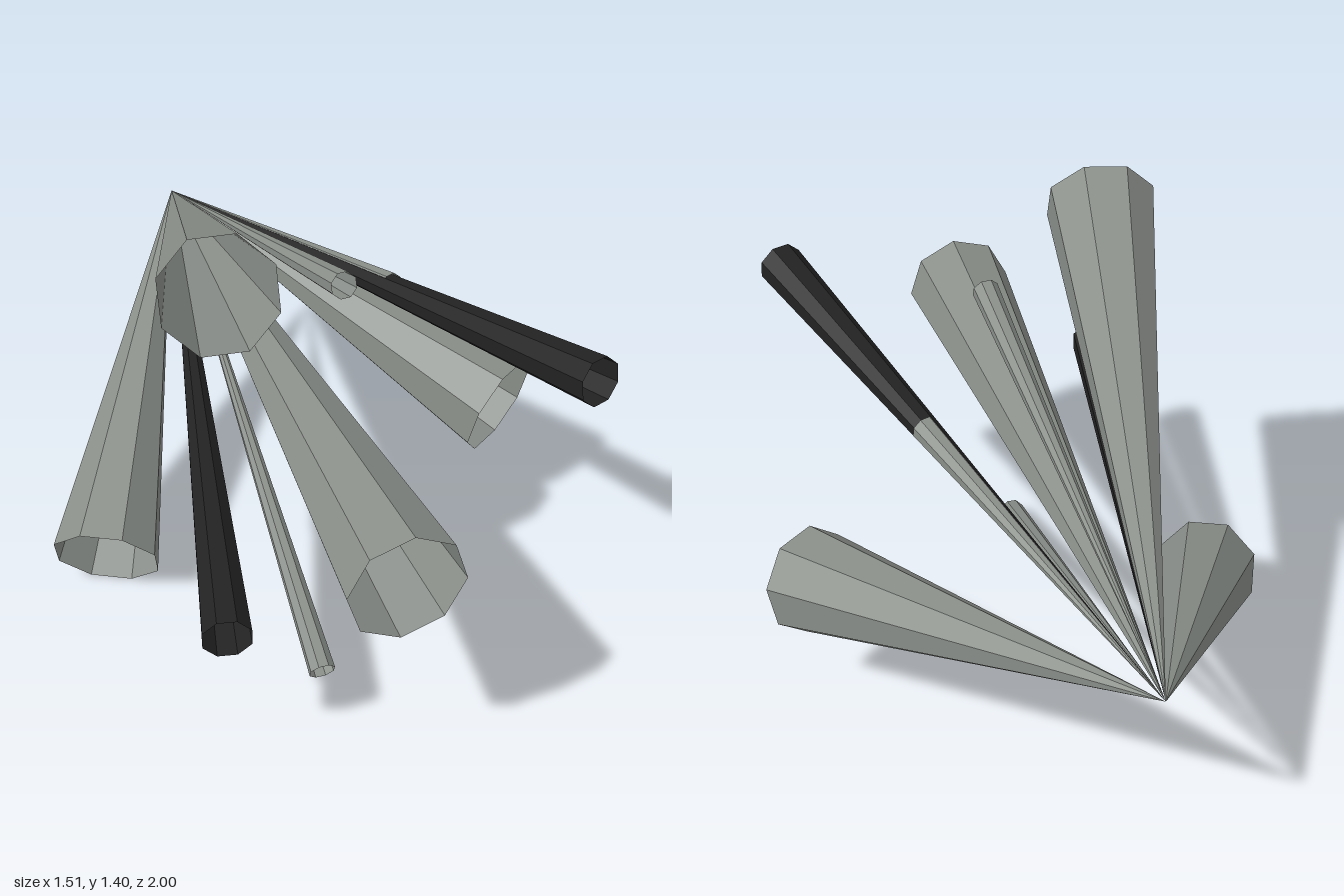
import * as THREE from 'three';

export function createModel() {
  const group = new THREE.Group();
  const surface = (name, color) =>
    new THREE.MeshStandardMaterial({ name, color, flatShading: true, side: THREE.DoubleSide });
  const grey = surface('grey', 0x8a8f8a);
  const black = surface('black', 0x222222);

  // All open cones share one tip at the back and fan out toward the front
  const tip = new THREE.Vector3(-0.095, 0.7, -1);

  function addCone(name, material, radius, end, rollDegrees) {
    const target = new THREE.Vector3(...end);
    const length = tip.distanceTo(target);
    const geometry = new THREE.ConeGeometry(radius, length, 8, 1, true);
    geometry.rotateX(-Math.PI / 2).translate(0, 0, length / 2);
    geometry.rotateZ(THREE.MathUtils.degToRad(rollDegrees));
    const cone = new THREE.Mesh(geometry, material);
    cone.name = name;
    cone.position.copy(tip);
    cone.lookAt(target);
    group.add(cone);
  }

  // Wide cones
  addCone('centreCone', grey, 0.16, [-0.065, 0.7, 1], -5);
  addCone('upperRightCone', grey, 0.16, [-0.36, 1.265, 0.445], 25);
  addCone('lowerLeftCone', grey, 0.16, [0.625, 0.39, 0.035], 20);
  addCone('lowerRightCone', grey, 0.16, [-0.61, 0.14, 0.04], 20);

  // Dark medium cones
  addCone('upperDarkCone', black, 0.068, [0.537, 1.012, 0.763], 22.5);
  addCone('lowerDarkCone', black, 0.068, [-0.477, 0.508, 0.835], 22.5);

  // Thin cones, the last one nested in the upper dark cone
  addCone('upperThinCone', grey, 0.038, [0.022, 1.119, 0.295], 22.5);
  addCone('lowerThinCone', grey, 0.038, [-0.135, 0.046, 0.59], 22.5);
  addCone('nestedThinCone', grey, 0.038, [0.272, 0.884, 0.01], 22.5);

  return group;
}
